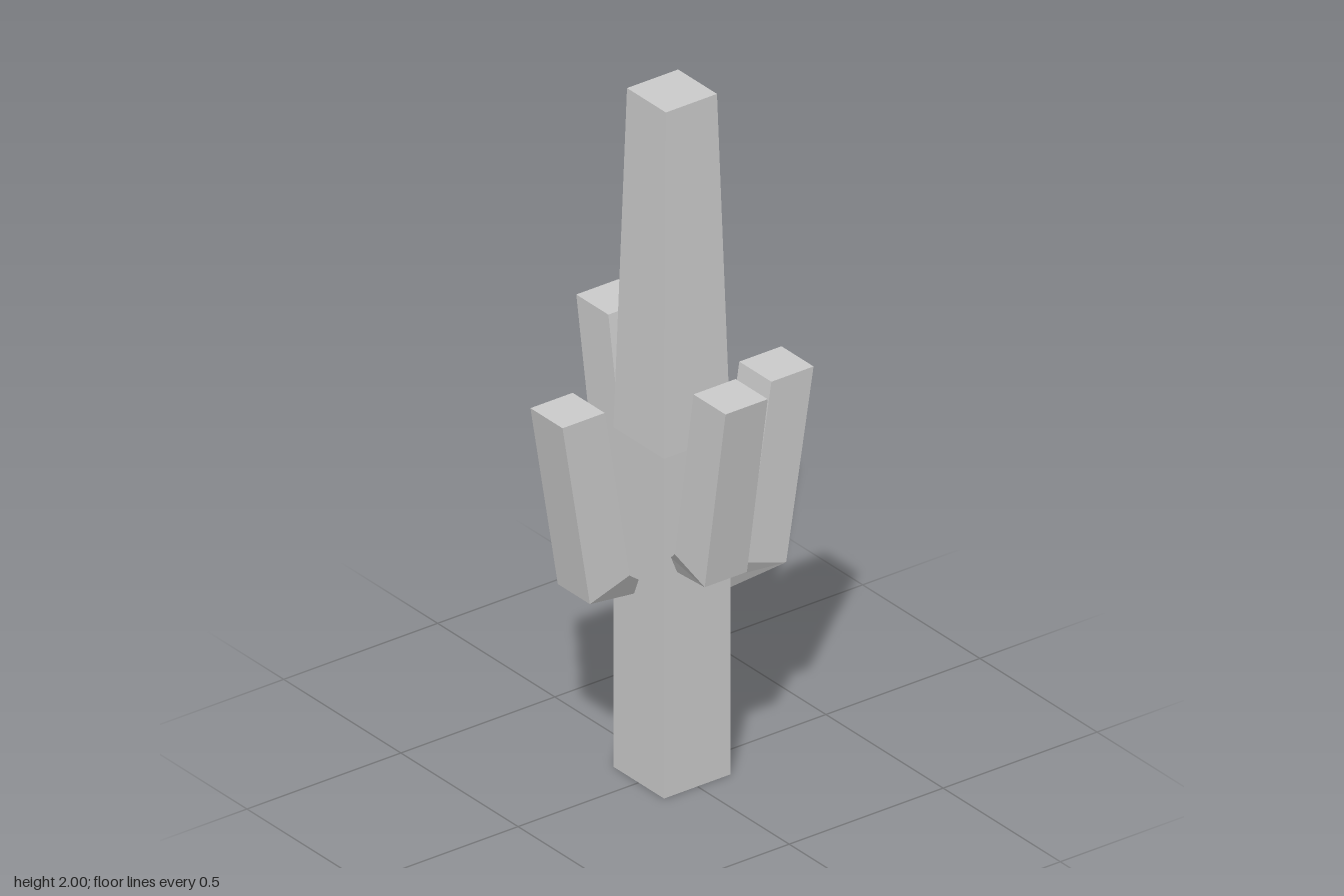
import * as THREE from 'three';

// Four-sided section: [half width, z, y] of the outer edge, then of the inner edge
const section = ([ho, zo, yo], [hi, zi, yi], x = 0) => [
  [x - ho, yo, zo], [x + ho, yo, zo], [x + hi, yi, zi], [x - hi, yi, zi],
];

// Flat-sided skin through a list of sections, capped at both ends
function loft(sections) {
  const pos = [];
  const quad = (a, b, c, d) => pos.push(...a, ...b, ...c, ...a, ...c, ...d);
  for (let i = 0; i < sections.length - 1; i++) {
    const lo = sections[i], hi = sections[i + 1];
    for (let j = 0; j < 4; j++) {
      const k = (j + 1) % 4;
      quad(lo[j], lo[k], hi[k], hi[j]);
    }
  }
  quad(...[...sections[0]].reverse());
  quad(...sections[sections.length - 1]);
  const geo = new THREE.BufferGeometry();
  geo.setAttribute('position', new THREE.Float32BufferAttribute(pos, 3));
  geo.computeVertexNormals();
  return geo;
}

export function createModel() {
  const group = new THREE.Group();
  const material = new THREE.MeshStandardMaterial({ color: 0xcccccc, flatShading: true });

  // Square trunk, straight below and tapered above
  const square = (h, y) => section([h, h, y], [h, -h, y]);
  const trunk = new THREE.Mesh(
    loft([square(0.108, 0), square(0.108, 1), square(0.083, 2)]), material);
  trunk.name = 'trunk';
  group.add(trunk);

  // Bent arm growing out along +z: narrow root, elbow, flat tip
  const armX = -0.043;
  const armGeo = loft([
    section([0.022, 0.105, 0.652], [0.041, 0.105, 0.7], armX),
    section([0.0685, 0.286, 0.7], [0.0685, 0.158, 0.742], armX),
    section([0.0685, 0.375, 1.247], [0.0685, 0.238, 1.247], armX),
  ]);

  // One arm per side, at differing heights
  const arms = [['frontArm', 0], ['leftArm', -0.133], ['backArm', 0], ['rightArm', -0.105]];
  arms.forEach(([name, dy], i) => {
    const arm = new THREE.Mesh(armGeo, material);
    arm.name = name;
    arm.rotation.y = (i * Math.PI) / 2;
    arm.position.y = dy;
    group.add(arm);
  });

  return group;
}
